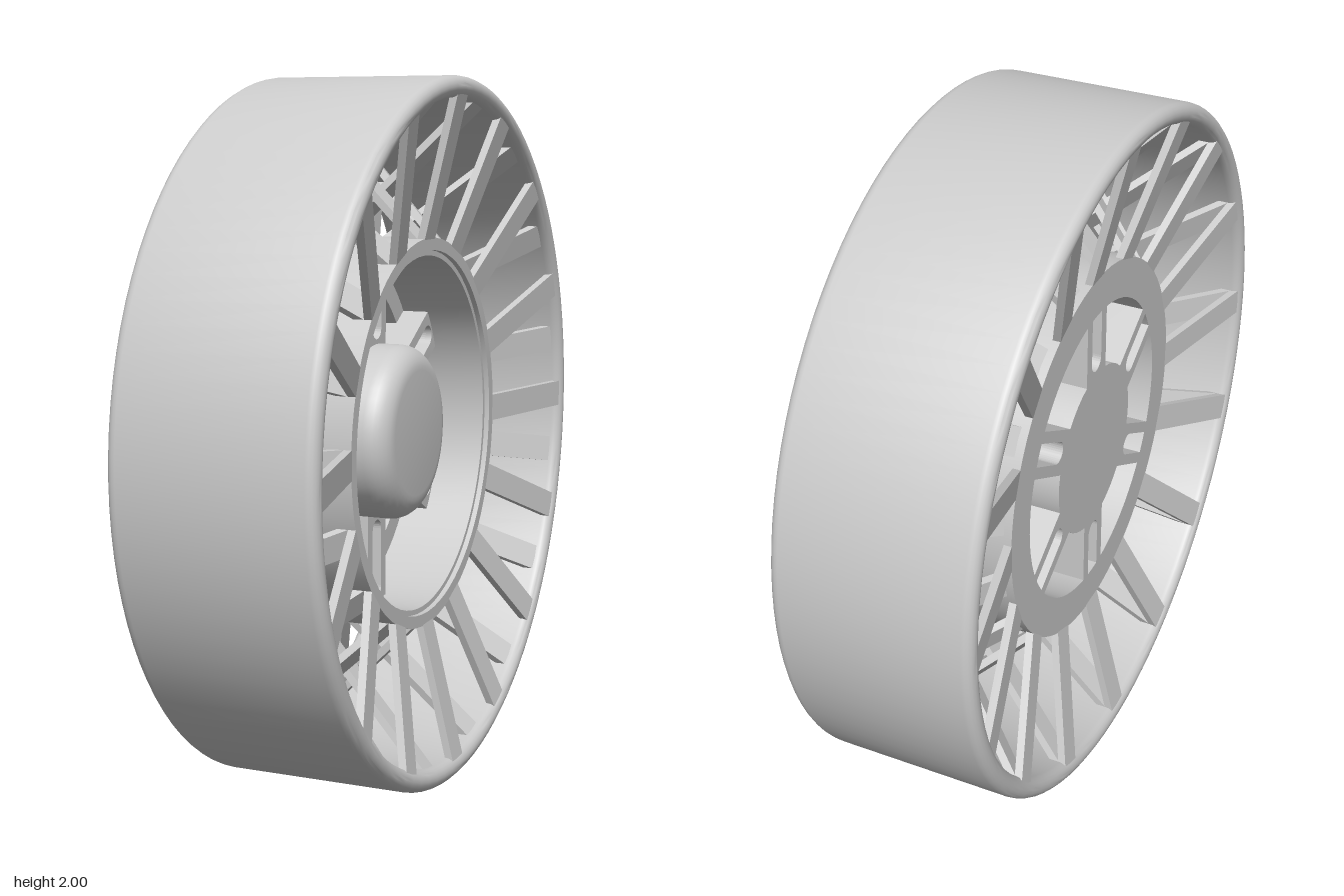
import * as THREE from 'three';
import { toCreasedNormals } from 'three/addons/utils/BufferGeometryUtils.js';

const material = new THREE.MeshStandardMaterial({ color: 0xcccccc });

function addMesh(parent, name, geometry) {
  const mesh = new THREE.Mesh(geometry, material);
  mesh.name = name;
  parent.add(mesh);
  return mesh;
}

// Turned part around the x axis; the profile lists [radius, x] pairs
function turned(profile, segments = 72) {
  const points = profile.map(([r, x]) => new THREE.Vector2(r, x));
  const geometry = new THREE.LatheGeometry(points, segments).rotateZ(-Math.PI / 2);
  return toCreasedNormals(geometry, 0.6);
}

// Points of a quarter-round corner in [radius, x]
function corner(r, x, radius, startAngle, steps = 5) {
  return Array.from({ length: steps + 1 }, (_, i) => {
    const a = startAngle + (i / steps) * Math.PI / 2;
    return [r + radius * Math.cos(a), x + radius * Math.sin(a)];
  });
}

// Flat bar from (x0, r0) to (x1, r1); y is the radial direction
function bar(x0, r0, x1, r1, width, thickness) {
  const length = Math.hypot(x1 - x0, r1 - r0);
  return new THREE.BoxGeometry(thickness, length, width)
    .rotateZ(-Math.atan2(x1 - x0, r1 - r0))
    .translate((x0 + x1) / 2, (r0 + r1) / 2, 0);
}

// Hub arm with a rounded slot
function slottedArm() {
  const shape = new THREE.Shape();
  shape.moveTo(-0.065, 0.2);
  shape.lineTo(0.065, 0.2);
  shape.lineTo(0.065, 0.505);
  shape.lineTo(-0.065, 0.505);
  shape.closePath();
  const slot = new THREE.Path();
  slot.absarc(0, 0.465, 0.032, 0, Math.PI, false);
  slot.absarc(0, 0.295, 0.032, Math.PI, Math.PI * 2, false);
  slot.closePath();
  shape.holes.push(slot);
  return new THREE.ExtrudeGeometry(shape, { depth: 0.2, bevelEnabled: false, curveSegments: 8 })
    .rotateY(Math.PI / 2)
    .translate(-0.18, 0, 0);
}

export function createModel() {
  const model = new THREE.Group();
  const wheel = new THREE.Group();
  wheel.name = 'wheel';
  wheel.position.y = 1;
  model.add(wheel);

  // Outer tread band with rounded lips
  const f = 0.03, w = 0.284;
  const band = [
    ...corner(1 - f, -w + f, f, -Math.PI / 2),
    ...corner(1 - f, w - f, f, 0),
    ...corner(0.94 + f, w - f, f, Math.PI / 2),
    ...corner(0.94 + f, -w + f, f, Math.PI),
  ];
  band.push(band[0]);
  addMesh(wheel, 'treadBand', turned(band, 96));

  // Hub barrel: stepped lip on the open side, thick inner flange on the other
  addMesh(wheel, 'hubBarrel', turned([
    [0.44, -0.18], [0.555, -0.18], [0.555, 0.18], [0.52, 0.18],
    [0.52, 0.165], [0.505, 0.165], [0.505, -0.06], [0.44, -0.06], [0.44, -0.18],
  ]));

  // Domed hub cap
  addMesh(wheel, 'hubCap', turned([
    [0, -0.18], [0.25, -0.18], ...corner(0.18, 0.08, 0.07, 0, 8), [0, 0.155],
  ], 48));

  // Six slotted arms joining cap and barrel
  const armGeometry = slottedArm();
  for (let i = 0; i < 6; i++) {
    addMesh(wheel, 'hubArm', armGeometry).rotation.x = (i * Math.PI) / 3;
  }

  // Flexible ribs: a diagonal at every step, leaning alternately, and face pairs at every second
  for (let i = 0; i < 32; i++) {
    const ribs = new THREE.Group();
    ribs.name = 'ribSet';
    ribs.rotation.x = (i * Math.PI) / 16;
    const lean = i % 2 ? 1 : -1;
    addMesh(ribs, 'diagonalRib', bar(-lean * 0.16, 0.535, lean * 0.262, 0.965, 0.08, 0.022));
    if (i % 2 === 0) {
      for (const side of [1, -1]) {
        addMesh(ribs, 'faceRib', bar(side * 0.165, 0.535, side * 0.268, 0.968, 0.08, 0.022));
      }
    }
    wheel.add(ribs);
  }
  return model;
}
